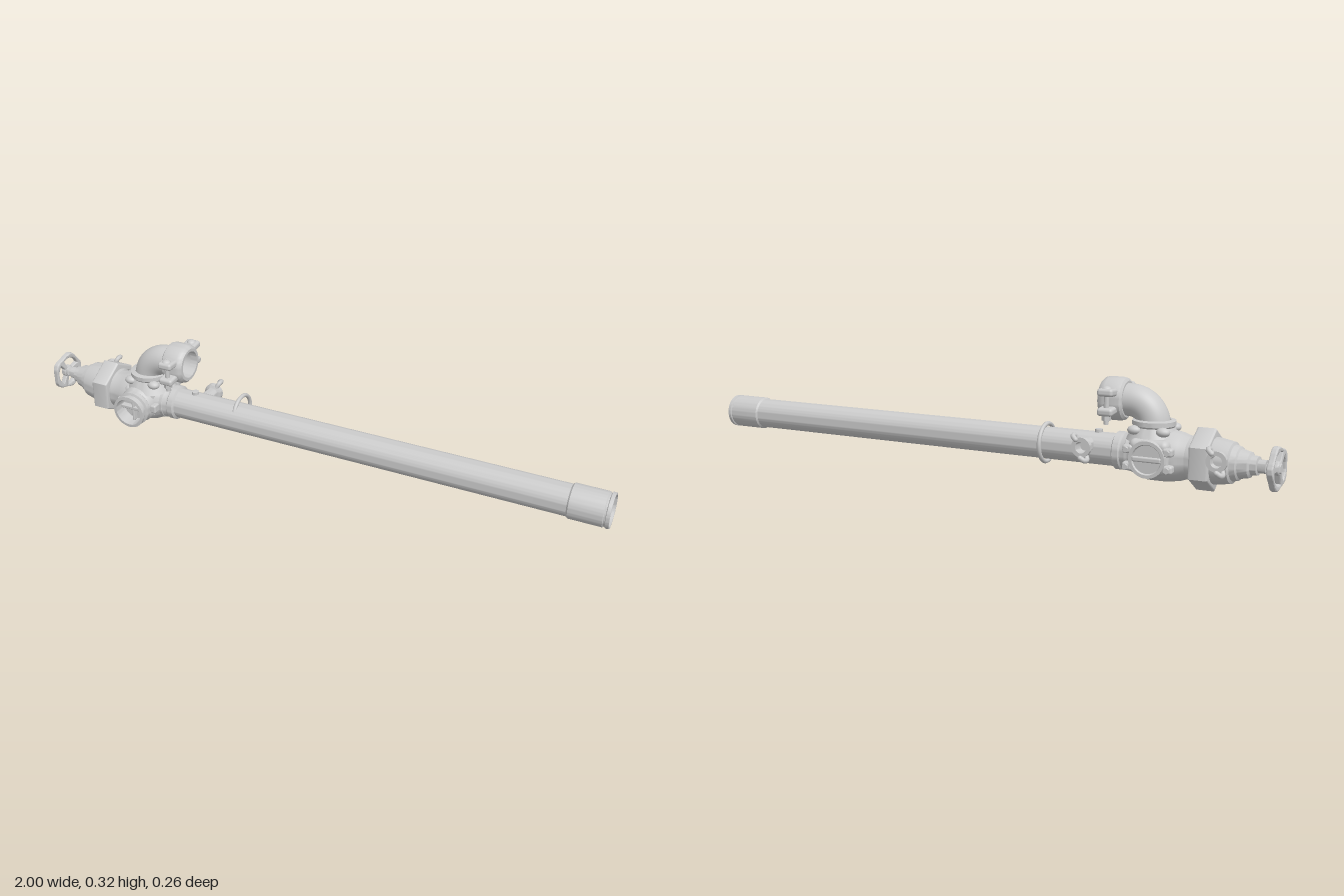
import * as THREE from 'three';
import { toCreasedNormals } from 'three/addons/utils/BufferGeometryUtils.js';
import { RoundedBoxGeometry } from 'three/addons/geometries/RoundedBoxGeometry.js';

const mat = new THREE.MeshStandardMaterial({ color: 0xcccccc, side: THREE.DoubleSide });
const Y = 0.096, Z = -0.004; // main pipe axis

function add(parent, name, geo, x = 0, y = 0, z = 0) {
  const m = new THREE.Mesh(geo, mat);
  m.name = name;
  m.position.set(x, y, z);
  parent.add(m);
  return m;
}

function group(parent, name, x = 0, y = 0, z = 0) {
  const g = new THREE.Group();
  g.name = name;
  g.position.set(x, y, z);
  parent.add(g);
  return g;
}

// Turned part: profile of [distance along axis, radius]
function turned(axis, profile, sides = 48) {
  const g = new THREE.LatheGeometry(profile.map(([a, r]) => new THREE.Vector2(r, a)), sides);
  if (axis === 'x') g.rotateZ(-Math.PI / 2);
  if (axis === 'z') g.rotateX(Math.PI / 2);
  return toCreasedNormals(g, 0.6);
}

// Flat outline in the z-y plane, given thickness along x and centred on it
function plateX(shape, depth, bevel) {
  const g = new THREE.ExtrudeGeometry(shape, {
    depth: depth - 2 * bevel, bevelThickness: bevel, bevelSize: bevel,
    bevelOffset: -bevel, bevelSegments: 3, curveSegments: 24,
  });
  g.translate(0, 0, -(depth - 2 * bevel) / 2);
  g.rotateY(Math.PI / 2);
  return toCreasedNormals(g, 0.6);
}

// Scalloped wheel with three curved windows
function handwheelGeometry() {
  const outline = [];
  for (let i = 0; i < 80; i++) {
    const a = (i / 80) * Math.PI * 2, r = 0.064 + 0.004 * Math.cos(5 * a);
    outline.push(new THREE.Vector2(r * Math.cos(a), r * Math.sin(a)));
  }
  const s = new THREE.Shape(outline);
  for (let i = 0; i < 3; i++) {
    const a = (i * Math.PI * 2) / 3 + 0.3, hole = new THREE.Path();
    hole.absarc(0, 0, 0.049, a, a + 1.65, false);
    hole.absarc(0, 0, 0.021, a + 1.5, a + 0.15, true);
    hole.closePath();
    s.holes.push(hole);
  }
  return plateX(s, 0.02, 0.005);
}

// Small hose fitting with two hooked claws, facing -z
function clawFitting(parent, x, z) {
  const g = group(parent, 'clawFitting', x, 0.112, z);
  add(g, 'clawNeck', turned('z', [[0.05, 0.024], [-0.015, 0.022], [-0.02, 0.031], [-0.036, 0.031],
    [-0.036, 0.018], [0.0, 0.016], [0.0, 0]], 32));
  for (const s of [1, -1]) {
    const path = new THREE.CatmullRomCurve3([
      new THREE.Vector3(s * 0.012, s * 0.02, -0.024), new THREE.Vector3(s * 0.02, s * 0.036, -0.032),
      new THREE.Vector3(s * 0.019, s * 0.036, -0.05), new THREE.Vector3(s * 0.008, s * 0.028, -0.057),
    ]);
    add(g, 'claw', new THREE.TubeGeometry(path, 16, 0.008, 10));
    add(g, 'clawTip', new THREE.SphereGeometry(0.008, 12, 8), s * 0.008, s * 0.028, -0.057);
  }
}

function addPipe(root) {
  add(root, 'mainPipe', turned('x', [[-0.55, 0.051], [0.87, 0.051], [0.875, 0.056], [0.98, 0.056],
    [0.982, 0.053], [0.987, 0.053], [0.989, 0.057], [1, 0.056], [1, 0.051], [0.88, 0.049],
    [0.86, 0.047], [-0.55, 0.047]], 64), 0, Y, Z);
  add(root, 'pipeSleeve', turned('x', [[-0.56, 0.06], [-0.535, 0.06], [-0.53, 0.054], [-0.517, 0.054],
    [-0.513, 0.059], [-0.495, 0.059], [-0.49, 0.051]]), 0, Y, Z);
  add(root, 'pipeBoss', turned('y', [[0, 0.013], [0.06, 0.012], [0.062, 0]], 20), -0.43, Y, Z);
  const loop = add(root, 'pipeLoop', new THREE.TorusGeometry(0.06, 0.007, 10, 48), -0.265, 0.102, -0.028);
  loop.rotation.y = Math.PI / 2;
}

function addBody(root) {
  const g = group(root, 'valveBody', -0.62, Y, Z);
  add(g, 'bodyCore', turned('x', [[-0.13, 0.066], [-0.1, 0.066], [-0.08, 0.073], [-0.04, 0.08],
    [0.02, 0.08], [0.05, 0.072], [0.075, 0.06], [0.1, 0.056]]));
  add(g, 'innerPlug', turned('x', [[0, 0.048], [0.01, 0.046], [0.018, 0.022], [0.03, 0.014], [0.034, 0]]), 0.03);
  add(g, 'bodyBlock', new RoundedBoxGeometry(0.125, 0.105, 0.16, 4, 0.02), 0, 0.005, -0.012);

  // Grooved front outlet with a crossed guide inside
  add(g, 'frontOutlet', turned('z', [[0.03, 0.066], [0.075, 0.063], [0.085, 0.056], [0.09, 0.06],
    [0.105, 0.06], [0.108, 0.052], [0.121, 0.052], [0.123, 0.058], [0.133, 0.058], [0.134, 0.048],
    [0.088, 0.046], [0.088, 0]]));
  for (let i = 0; i < 2; i++) {
    add(g, 'guideRib', new RoundedBoxGeometry(i ? 0.008 : 0.094, i ? 0.094 : 0.012, 0.02, 2, 0.003), 0, 0, 0.096);
  }
  for (const s of [1, -1]) {
    add(g, 'outletLug', new RoundedBoxGeometry(0.022, 0.03, 0.045, 3, 0.006), s * 0.066, 0, 0.062);
  }

  // Rear cover with rim, bar and bolted lugs
  add(g, 'rearCover', turned('z', [[-0.094, 0], [-0.094, 0.043], [-0.1, 0.046], [-0.1, 0.056],
    [-0.086, 0.058], [-0.082, 0.053], [-0.072, 0.06], [-0.03, 0.066]]));
  add(g, 'coverBar', new RoundedBoxGeometry(0.09, 0.016, 0.016, 3, 0.005), 0, 0, -0.094);
  for (const sx of [1, -1]) for (const sy of [1, -1]) {
    add(g, 'coverLug', new RoundedBoxGeometry(0.032, 0.026, 0.03, 3, 0.008), sx * 0.062, sy * 0.026, -0.082);
    add(g, 'coverBolt', turned('z', [[-0.106, 0], [-0.106, 0.009], [-0.09, 0.009]], 6), sx * 0.064, sy * 0.026);
  }

  // Neck under the elbow
  add(g, 'topNeck', turned('y', [[0.045, 0.084], [0.07, 0.07], [0.085, 0.062], [0.09, 0.066],
    [0.104, 0.066], [0.107, 0.05]]), 0.012);
  for (const [x, z] of [[-0.035, 0.05], [0.055, 0.05], [-0.035, -0.055], [0.055, -0.055]]) {
    const lug = add(g, 'neckLug', new THREE.SphereGeometry(0.018, 16, 12), x, 0.078, z);
    lug.scale.set(1.2, 0.8, 1);
  }
}

function addElbow(root) {
  const r = 0.075, x0 = -0.608, y0 = 0.18, pts = [new THREE.Vector3(x0, 0.15, Z)];
  for (let i = 0; i <= 8; i++) {
    const a = (i / 8) * Math.PI / 2;
    pts.push(new THREE.Vector3(x0 + r * (1 - Math.cos(a)), y0 + r * Math.sin(a), Z));
  }
  pts.push(new THREE.Vector3(-0.47, 0.255, Z));
  const path = new THREE.CatmullRomCurve3(pts);
  add(root, 'elbow', new THREE.TubeGeometry(path, 40, 0.05, 40));
  add(root, 'elbowBore', new THREE.TubeGeometry(path, 40, 0.045, 40));

  // Two-piece clamp with ears and vertical bolts
  const g = group(root, 'clamp', -0.485, 0.256, Z);
  add(g, 'clampRing', turned('x', [[-0.038, 0.046], [-0.038, 0.056], [-0.032, 0.064], [-0.02, 0.067],
    [0.02, 0.067], [0.032, 0.064], [0.04, 0.056], [0.04, 0.046], [-0.038, 0.046]]));
  for (const s of [1, -1]) {
    for (const t of [1, -1]) {
      const ear = add(g, 'clampEar', new RoundedBoxGeometry(0.05, 0.024, 0.058, 3, 0.009), 0, t * 0.028, s * 0.073);
      ear.rotation.x = s * t * -0.08;
    }
    add(g, 'clampBolt', turned('y', [[-0.068, 0], [-0.068, 0.008], [0.04, 0.008]], 20), 0, 0, s * 0.081);
    const head = add(g, 'boltHead', new THREE.SphereGeometry(0.016, 20, 12, 0, Math.PI * 2, 0, Math.PI / 2), 0, 0.036, s * 0.081);
    head.scale.y = 0.45 / 0.6;
    add(g, 'boltNut', turned('y', [[-0.056, 0], [-0.056, 0.014], [-0.038, 0.014], [-0.038, 0]], 6), 0, 0, s * 0.081);
  }
}

function addBonnet(root) {
  // Chamfered six-sided nut with a corner pointing down
  const hex = new THREE.Shape();
  for (let i = 0; i < 6; i++) {
    const a = Math.PI / 2 + (i * Math.PI) / 3;
    hex[i ? 'lineTo' : 'moveTo'](0.095 * Math.cos(a), 0.095 * Math.sin(a));
  }
  hex.closePath();
  add(root, 'bonnetNut', plateX(hex, 0.06, 0.006), -0.772, Y, -0.007);

  // The bonnet leans slightly to the back
  const g = group(root, 'bonnet', -0.77, Y, -0.009);
  g.rotation.y = -0.09;
  add(g, 'bonnetCone', turned('x', [[-0.22, 0], [-0.22, 0.011], [-0.188, 0.011], [-0.188, 0.02],
    [-0.165, 0.02], [-0.163, 0.028], [-0.145, 0.03], [-0.14, 0.038], [-0.112, 0.044], [-0.108, 0.05],
    [-0.092, 0.054], [-0.088, 0.062], [-0.04, 0.07], [0.04, 0.068]]));
  add(g, 'handwheel', handwheelGeometry(), -0.217);
  add(g, 'wheelHub', turned('x', [[-0.23, 0], [-0.23, 0.012], [-0.225, 0.018], [-0.2, 0.018], [-0.196, 0.011]], 24));
}

export function createModel() {
  const root = new THREE.Group();
  root.name = 'pipeValveAssembly';
  addPipe(root);
  addBody(root);
  addElbow(root);
  addBonnet(root);
  clawFitting(root, -0.83, -0.068);
  clawFitting(root, -0.41, -0.065);
  return root;
}
